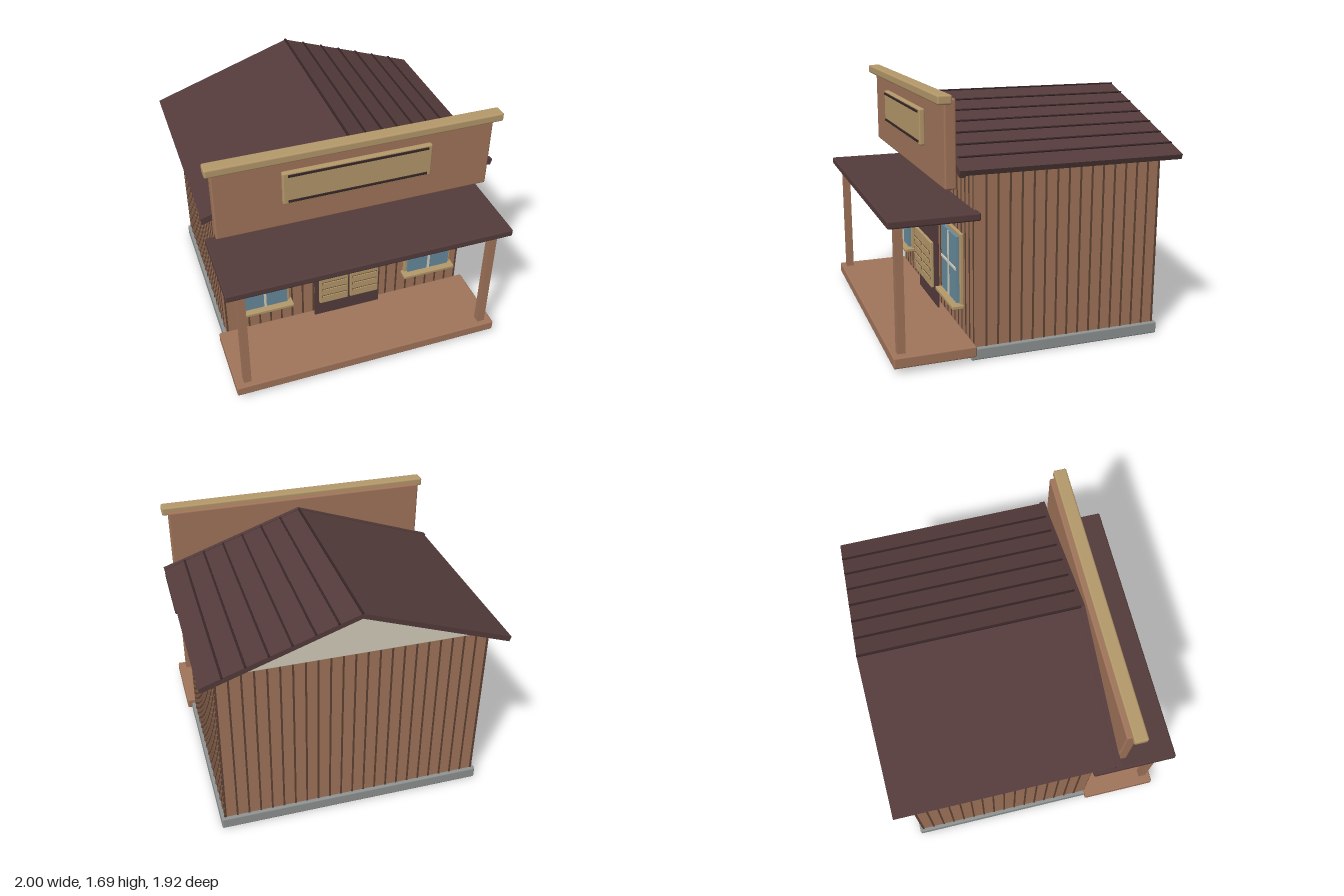
import * as THREE from 'three';
import { RoundedBoxGeometry } from 'three/addons/geometries/RoundedBoxGeometry.js';

const paint = (name, color) => {
  const m = new THREE.MeshStandardMaterial({ color });
  m.name = name;
  return m;
};

export function createModel() {
  const model = new THREE.Group();
  model.name = 'saloon';
  const wood = paint('brown wood', 0xa0745a);
  const seam = paint('dark seam', 0x5f4334);
  const tan = paint('tan trim', 0xb4986a);
  const dark = paint('dark maroon', 0x543b3b);
  const line = paint('roof seam', 0x372527);
  const stone = paint('grey stone', 0x8e9291);
  const glass = paint('blue glass', 0x668b9e);
  const cream = paint('cream', 0xd4cebb);

  const add = (name, geometry, material, parent = model) => {
    const mesh = new THREE.Mesh(geometry, material);
    mesh.name = name;
    parent.add(mesh);
    return mesh;
  };
  // Box given by its extents on each axis; r rounds its edges
  const box = (name, material, [x0, x1], [y0, y1], [z0, z1], r = 0, parent = model) => {
    const size = [x1 - x0, y1 - y0, z1 - z0];
    const g = r ? new RoundedBoxGeometry(...size, 2, r) : new THREE.BoxGeometry(...size);
    const mesh = add(name, g, material, parent);
    mesh.position.set((x0 + x1) / 2, (y0 + y1) / 2, (z0 + z1) / 2);
    return mesh;
  };
  // Flat outline extruded from z0 to z1
  const slab = (name, material, points, z0, z1) => {
    const shape = new THREE.Shape(points.map(([x, y]) => new THREE.Vector2(x, y)));
    const g = new THREE.ExtrudeGeometry(shape, { depth: z1 - z0, bevelEnabled: false });
    g.translate(0, 0, z0);
    return add(name, g, material);
  };

  // Building body
  box('foundation', stone, [-0.91, 0.91], [0, 0.08], [-0.88, 0.435], 0.01);
  box('walls', wood, [-0.887, 0.887], [0.08, 1.235], [-0.857, 0.41]);
  slab('gableEnds', cream, [[-0.887, 1.235], [0.887, 1.235], [0, 1.55]], -0.857, 0.41);

  // Seams between the wall boards
  const seams = new THREE.Group();
  seams.name = 'wallSeams';
  model.add(seams);
  const half = 0.006;
  for (let i = -11; i <= 11; i++) {
    const x = i * 0.08;
    box('frontSeam', seam, [x - half, x + half], [0.08, 1.235], [0.405, 0.414], 0, seams);
    box('backSeam', seam, [x - half, x + half], [0.08, 1.235], [-0.861, -0.852], 0, seams);
  }
  for (let i = 0; i < 16; i++) {
    const z = 0.33 - i * 0.0787;
    for (const s of [-1, 1]) {
      const x = s * 0.8865;
      box('sideSeam', seam, [x - 0.0045, x + 0.0045], [0.08, 1.235], [z - half, z + half], 0, seams);
    }
  }

  // Pitched roof with a front edge board
  const ridge = 1.588, slope = 0.345;
  const chevron = (reach, t, lift) => [
    [0, ridge + lift], [-reach, ridge + lift - reach * slope],
    [-reach + 0.012, ridge - reach * slope - t], [0, ridge - t],
    [reach - 0.012, ridge - reach * slope - t], [reach, ridge + lift - reach * slope],
  ];
  slab('roof', dark, chevron(0.992, 0.033, 0), -0.96, 0.5);
  slab('roofFrontBoard', dark, chevron(1, 0.038, 0.005), 0.492, 0.53);

  // Raised seams on the left roof slope and along the ridge
  for (let i = 0; i <= 6; i++) {
    const x = i ? i * 0.1415 : 0;
    const rib = box('roofSeam', line, [x - 0.007, x + 0.007], [-0.005, 0.005], [-0.96, 0.5]);
    rib.position.y = ridge - x * slope + 0.002;
    rib.rotation.z = i ? -Math.atan(slope) : 0;
  }

  // False front with cap and blank sign
  box('falseFront', wood, [-0.925, 0.925], [1.12, 1.66], [0.526, 0.6], 0.012);
  box('falseFrontCap', tan, [-0.965, 0.965], [1.63, 1.688], [0.56, 0.65], 0.012);
  box('signBoard', tan, [-0.495, 0.492], [1.312, 1.545], [0.597, 0.635], 0.01);
  for (const y of [1.336, 1.525])
    box('signStripe', line, [-0.462, 0.462], [y - 0.007, y + 0.007], [0.634, 0.643]);

  // Porch
  box('porchDeck', wood, [-0.943, 0.943], [0.037, 0.11], [0.41, 0.94], 0.01);
  box('porchRoof', dark, [-0.965, 0.965], [0.925, 0.977], [0.387, 0.96], 0.012);
  for (const x of [-0.862, 0.862])
    box('porchPost', wood, [x - 0.026, x + 0.026], [0.105, 0.93], [0.852, 0.904]);

  // Doorway with two swing doors
  box('doorway', dark, [-0.245, 0.245], [0.11, 0.852], [0.45, 0.462]);
  for (const s of [-1, 1]) {
    const door = new THREE.Group();
    door.name = s < 0 ? 'rightSwingDoor' : 'leftSwingDoor';
    door.position.x = s * 0.114;
    model.add(door);
    box('doorLeaf', tan, [-0.106, 0.106], [0.252, 0.58], [0.48, 0.502], 0.005, door);
    for (let i = 0; i < 4; i++) {
      const y = 0.316 + i * 0.0615;
      box('doorSlat', seam, [-0.092, 0.092], [y - 0.009, y + 0.009], [0.5, 0.505], 0, door);
      box('doorSlatFace', tan, [-0.089, 0.089], [y - 0.004, y + 0.006], [0.5, 0.512], 0, door);
    }
  }

  // Windows
  for (const s of [-1, 1]) {
    const win = new THREE.Group();
    win.name = s < 0 ? 'rightWindow' : 'leftWindow';
    win.position.x = s * 0.614;
    model.add(win);
    box('windowFrame', tan, [-0.181, 0.181], [0.335, 0.803], [0.447, 0.47], 0.005, win);
    box('windowPane', glass, [-0.158, 0.158], [0.345, 0.78], [0.47, 0.49], 0, win);
    box('verticalBar', cream, [-0.008, 0.008], [0.345, 0.78], [0.488, 0.497], 0, win);
    box('horizontalBar', cream, [-0.158, 0.158], [0.562, 0.578], [0.488, 0.497], 0, win);
    box('windowSill', tan, [-0.197, 0.197], [0.313, 0.339], [0.45, 0.528], 0.006, win);
  }
  return model;
}
